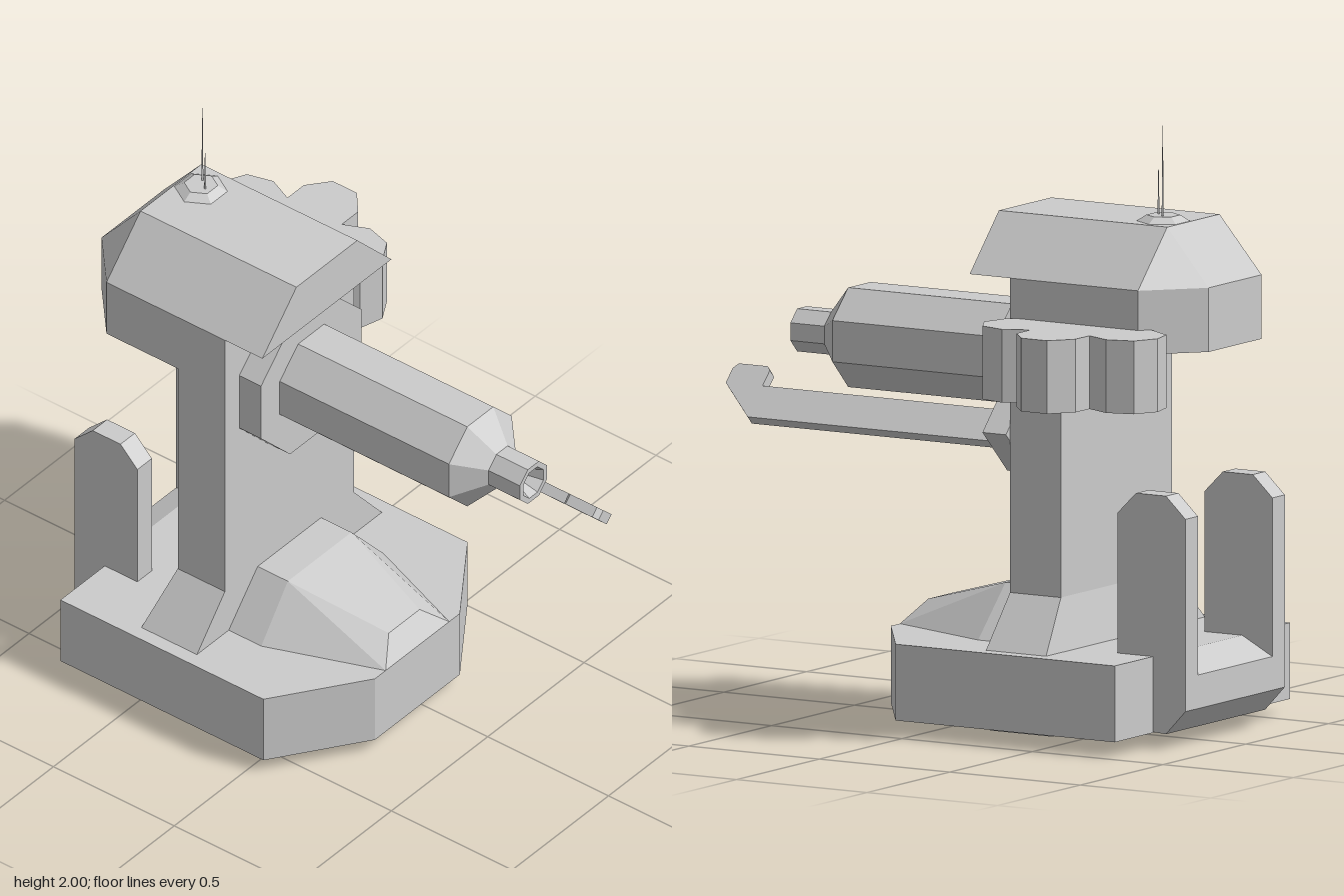
import * as THREE from 'three';
import { ConvexGeometry } from 'three/addons/geometries/ConvexGeometry.js';

const CX = -0.07; // centre line of the main body
const material = new THREE.MeshStandardMaterial({ color: 0xcccccc, flatShading: true });
const openMaterial = new THREE.MeshStandardMaterial({ color: 0xcccccc, flatShading: true, side: THREE.DoubleSide });
const OCT = Math.cos(Math.PI / 8); // apothem / radius of an octagon

const outline = (pts) => new THREE.Shape(pts.map(([a, b]) => new THREE.Vector2(a, b)));
const extrude = (pts, depth) => new THREE.ExtrudeGeometry(outline(pts), { depth, bevelEnabled: false });

// Plan outline of [x, z] points raised from y0 to y1
const plan = (pts, y0, y1) =>
  extrude(pts.map(([x, z]) => [x, -z]), y1 - y0).rotateX(-Math.PI / 2).translate(0, y0, 0);

// Side outline of [z, y] points spanning x0 to x1
const side = (pts, x0, x1) => extrude(pts, x1 - x0).rotateY(-Math.PI / 2).translate(x1, 0, 0);

// Convex solid from [halfWidth, y, z] points mirrored about the centre line
const mirroredHull = (pts) => new ConvexGeometry(
  pts.flatMap(([w, y, z]) => [-1, 1].map((s) => new THREE.Vector3(CX + s * w, y, z))));

export function createModel() {
  const group = new THREE.Group();
  const add = (name, geometry, mat = material) => {
    const mesh = new THREE.Mesh(geometry, mat);
    mesh.name = name;
    group.add(mesh);
    return mesh;
  };

  // Open octagonal foot ring and base slab
  add('footRing', new THREE.CylinderGeometry(0.275 / OCT, 0.275 / OCT, 0.05, 8, 1, true, Math.PI / 8)
    .translate(CX, 0.025, -0.265), openMaterial);
  add('base', plan([[-0.6, -0.79], [-0.6, 0.05], [-0.29, 0.265], [0.15, 0.265], [0.46, 0.05], [0.46, -0.79]], 0.05, 0.3));

  // Column, its flared foot and the sloped mound in front
  add('column', new THREE.BoxGeometry(0.67, 1.2, 0.195).translate(CX, 0.9, -0.3625));
  add('columnFlare', mirroredHull([
    [0.48, 0.3, -0.265], [0.48, 0.3, -0.495], [0.335, 0.47, -0.265], [0.335, 0.47, -0.46]]));
  add('frontMound', mirroredHull([
    [0.315, 0.3, -0.265], [0.315, 0.3, -0.13], [0.165, 0.3, 0.265],
    [0.165, 0.47, -0.265], [0.165, 0.47, -0.14], [0.08, 0.375, 0.21]]));

  // Head: chamfered rear block under a sloped roof
  add('headBlock', plan([[-0.405, -0.4], [0.265, -0.4], [0.265, -0.755], [0.09, -0.915], [-0.23, -0.915], [-0.405, -0.755]], 1.29, 1.5));
  add('roof', mirroredHull([
    [0.335, 1.5, -0.11], [0.158, 1.685, -0.11], [0.158, 1.685, -0.755],
    [0.335, 1.5, -0.755], [0.16, 1.5, -0.915]]));

  // Hexagonal hatch with two thin aerials
  add('hatch', new THREE.CylinderGeometry(0.055, 0.087, 0.02, 6).rotateY(Math.PI / 2).translate(-0.015, 1.695, -0.675));
  [[0.005, -0.685, 2.0], [-0.025, -0.65, 1.85]].forEach(([x, z, top]) => {
    const h = top - 1.7;
    add('aerial', new THREE.CylinderGeometry(0.001, 0.004, h, 4).translate(x, 1.7 + h / 2, z));
  });

  // Mount plate: octagon with a tab at the lower corner
  add('mountPlate', extrude([
    [-0.18, 1.46], [-0.33, 1.31], [-0.33, 1.095], [-0.18, 0.94], [0.04, 0.94], [0.14, 0.845],
    [0.29, 0.99], [0.19, 1.095], [0.19, 1.31], [0.04, 1.46]], 0.09).translate(0, 0, -0.265));

  // Octagonal barrel with a tapered nose and hollow muzzle
  const barrel = [[0.163, -0.18], [0.163, 0.525], [0.07, 0.615], [0.07, 0.745], [0.052, 0.745], [0, 0.62]]
    .map(([a, y]) => new THREE.Vector2(a / OCT, y));
  add('barrel', new THREE.LatheGeometry(barrel, 8, Math.PI / 8).rotateX(Math.PI / 2).translate(CX, 1.203, 0), openMaterial);

  // Slanted blade with a hooked tip
  add('blade', side([
    [-0.18, 0], [0.775, 0], [0.915, 0.125], [0.915, 0.185], [0.9, 0.205], [0.79, 0.205],
    [0.775, 0.19], [0.775, 0.127], [-0.18, 0.127]], -0.018, 0.018)
    .rotateZ(Math.PI / 4).translate(0.198, 0.937, 0));

  // Three-lobed side drum
  add('sideDrum', plan([
    [0.235, -0.79], [0.29, -0.88], [0.375, -0.9], [0.455, -0.86], [0.48, -0.77], [0.44, -0.68],
    [0.525, -0.68], [0.6, -0.62], [0.6, -0.52], [0.525, -0.455], [0.44, -0.455], [0.48, -0.37],
    [0.455, -0.28], [0.375, -0.235], [0.29, -0.26], [0.235, -0.35]], 1.13, 1.37));

  // Pair of rear posts joined by a chamfered bar
  [-0.37, 0.155].forEach((x) => add('rearPost', side([
    [-0.655, 0.06], [-0.655, 0.76], [-0.725, 0.83], [-0.84, 0.83],
    [-0.915, 0.76], [-0.915, 0.13], [-0.84, 0.05]], x, x + 0.075)));
  add('rearBar', side([
    [-0.78, 0.05], [-0.78, 0.3], [-0.8, 0.3], [-0.915, 0.24], [-0.915, 0.13], [-0.84, 0.05]], -0.3, 0.16));

  return group;
}
